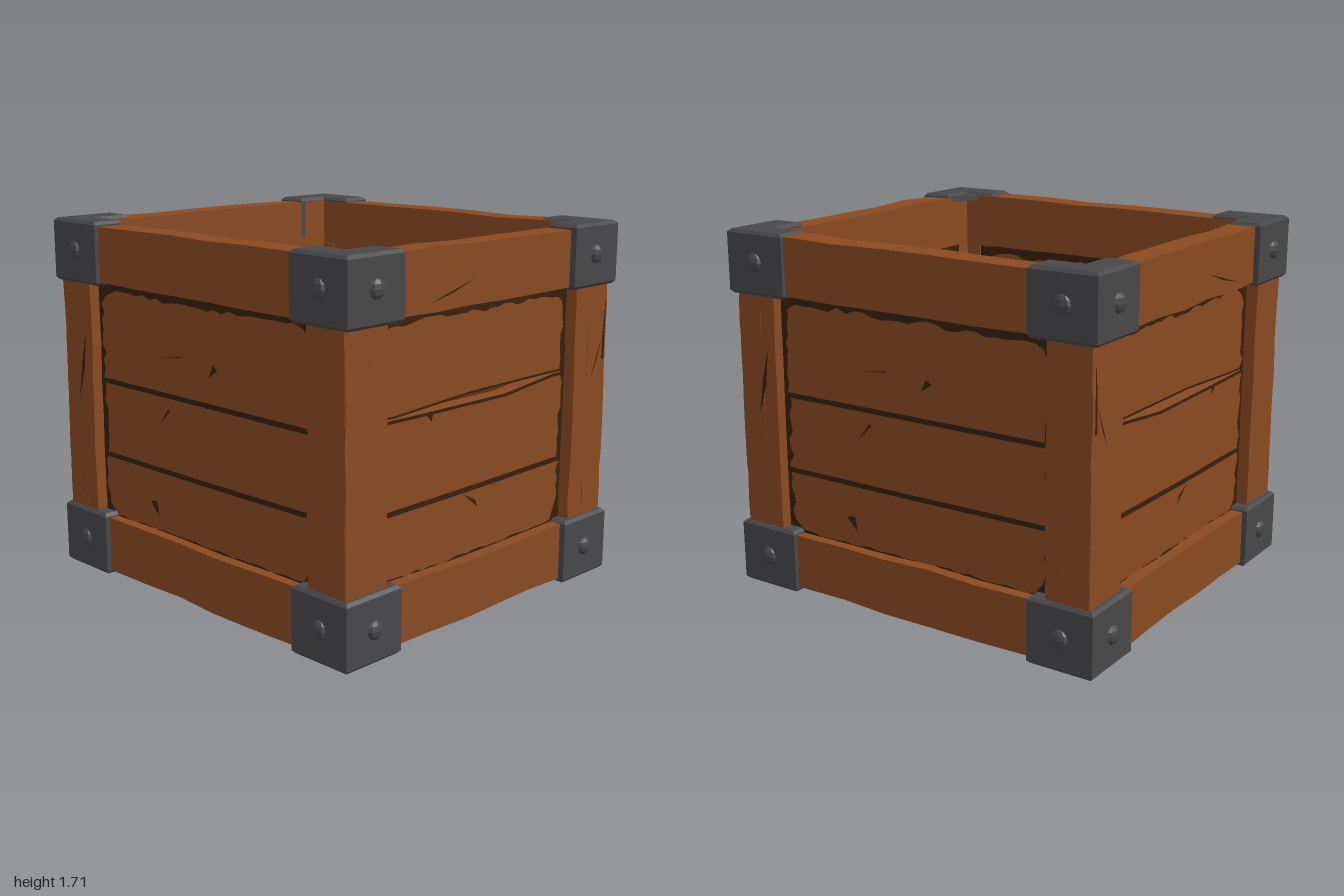
import * as THREE from 'three';

const mat = (name, color, side = THREE.FrontSide) =>
  Object.assign(new THREE.MeshStandardMaterial({ color, flatShading: true, side }), { name });

export function createModel() {
  const wood = mat('wood', 0x894a21);
  const dark = mat('dark stain', 0x38200d, THREE.DoubleSide);
  const metal = mat('iron', 0x484749);
  const model = new THREE.Group();
  model.name = 'openCrate';

  let seed = 7;
  const rand = () => (seed = (seed * 16807) % 2147483647) / 2147483647;

  const add = (parent, name, geo, material, x = 0, y = 0, z = 0) => {
    const m = new THREE.Mesh(geo, material);
    m.name = name;
    m.position.set(x, y, z);
    parent.add(m);
    return m;
  };
  const shape = pts => new THREE.Shape(pts.map(p => new THREE.Vector2(p[0], p[1])));

  // Hand-hewn beam: a box along x whose long edges waver slightly
  const beam = (length, height, depth, amp = 0.01) => {
    const n = 7, geo = new THREE.BoxGeometry(length, height, depth, n, 1, 1);
    const off = Array.from({ length: (n + 1) * 4 }, () => rand() * amp);
    const p = geo.attributes.position;
    for (let i = 0; i < p.count; i++) {
      const c = Math.round((p.getX(i) / length + 0.5) * n) * 4;
      const sy = Math.sign(p.getY(i)), sz = Math.sign(p.getZ(i));
      p.setY(i, p.getY(i) - sy * off[c + (sy > 0 ? 0 : 1)]);
      p.setZ(i, p.getZ(i) - sz * off[c + (sz > 0 ? 2 : 3)]);
    }
    return geo;
  };

  // Ragged dark frame with rounded inner corners, flat in xy
  const stainFrame = (x0, x1, y0, y1, side, top, corner) => {
    const s = shape([[x0, y0], [x1, y0], [x1, y1], [x0, y1]]);
    const inset = (t, base, len) => {
      const d = Math.min(t, 1 - t) * len;
      return base * (0.65 + rand() * 0.6) + corner * Math.max(0, 1 - d / 0.13) ** 2;
    };
    const pts = [], n = 30, w = x1 - x0, h = y1 - y0;
    for (let k = 0; k < 4; k++) {
      for (let i = 2; i < n - 1; i++) {
        const t = i / n;
        if (k === 0) pts.push([x0 + t * w, y0 + inset(t, side * 0.5, w)]);
        if (k === 1) pts.push([x1 - inset(t, side, h), y0 + t * h]);
        if (k === 2) pts.push([x1 - t * w, y1 - inset(t, top, w)]);
        if (k === 3) pts.push([x0 + inset(t, side, h), y1 - t * h]);
      }
    }
    s.holes.push(new THREE.Path(pts.map(p => new THREE.Vector2(p[0], p[1]))));
    return new THREE.ShapeGeometry(s);
  };

  // One plank wall facing +z; each gap is a pair of edges [lower, upper] from left to right
  const wall = (name, half, face, gaps, cracks, flip, angle) => {
    const g = new THREE.Group();
    g.name = name;
    g.rotation.y = angle;
    const e = half + 0.04, thick = 0.07;
    const f = pts => pts.map(([u, v]) => [u * flip, v]);
    const edges = [[null, [[-e, 0.12], [e, 0.12]]], ...gaps, [[[-e, 1.5], [e, 1.5]], null]];
    for (let i = 0; i < edges.length - 1; i++) {
      const outline = [...edges[i][1], ...[...edges[i + 1][0]].reverse()];
      const geo = new THREE.ExtrudeGeometry(shape(f(outline)), { depth: thick, bevelEnabled: false });
      add(g, 'wallPlank', geo, wood, 0, 0, face - thick);
    }
    for (const w of [face + 0.004, face - thick - 0.004]) {
      add(g, 'edgeStain', stainFrame(-half - 0.02, half + 0.02, 0.27, 1.43, 0.047, 0.05, 0.075), dark, 0, 0, w);
      // shadow lines following the plank edges
      for (const [lo, up] of gaps) for (const [line, d] of [[lo, -0.014], [up, 0.01]]) {
        const strip = [...line, ...line.map(([u, v]) => [u, v + d]).reverse()];
        add(g, 'plankEdge', new THREE.ShapeGeometry(shape(f(strip))), dark, 0, 0, w);
      }
    }
    for (const [w, pts] of cracks)
      add(g, 'crack', new THREE.ShapeGeometry(shape(f(pts))), dark, 0, 0, w);
    model.add(g);
  };
  // Planks that meet tightly share one edge
  const tight = (e, a, b) => {
    const line = [[-e, a], [0, a + 0.003], [e, b]];
    return [line, line];
  };

  const fw = 0.82, sw = 0.885;
  const frontGaps = [tight(0.77, 0.587, 0.597), tight(0.77, 0.95, 0.956)];
  const frontCracks = [
    [0.882, [[-0.84, 0.85], [-0.79, 1.0], [-0.77, 1.18], [-0.81, 1.02]]],
    [fw + 0.005, [[0.06, 1.08], [0.12, 1.12], [0.09, 1.14]]],
    [fw + 0.005, [[-0.38, 0.42], [-0.32, 0.36], [-0.33, 0.43]]],
    [fw + 0.005, [[-0.3, 0.8], [-0.22, 0.88], [-0.23, 0.89]]],
    [fw + 0.005, [[-0.3, 1.12], [-0.13, 1.14], [-0.13, 1.145]]],
  ];
  // Side walls have a warped plank that leaves an open slit
  const sideGaps = [tight(0.67, 0.587, 0.6), [
    [[-0.67, 0.99], [-0.4, 0.985], [0.2, 0.98], [0.55, 1.015], [0.67, 1.015]],
    [[-0.67, 0.995], [-0.52, 0.995], [-0.05, 1.02], [0.5, 1.022], [0.67, 1.02]]]];
  const sideCracks = [
    [0.951, [[-0.4, 1.46], [-0.1, 1.54], [-0.25, 1.49]]],
    [0.951, [[0.84, 1.05], [0.86, 1.05], [0.86, 1.36], [0.845, 1.2]]],
    [0.951, [[0.76, 0.97], [0.79, 1.05], [0.85, 1.18], [0.8, 1.05]]],
    [sw + 0.005, [[-0.08, 0.57], [0.02, 0.49], [0, 0.53]]],
    [sw + 0.005, [[-0.33, 0.97], [-0.3, 0.94], [-0.29, 0.98]]],
  ];
  wall('frontWall', 0.73, fw, frontGaps, frontCracks, 1, 0);
  wall('backWall', 0.73, fw, frontGaps, frontCracks, 1, Math.PI);
  wall('rightWall', 0.63, sw, sideGaps, sideCracks, 1, Math.PI / 2);
  wall('leftWall', 0.63, sw, sideGaps, sideCracks, -1, -Math.PI / 2);

  // Top and bottom rails
  for (const y of [0.155, 1.555]) for (const s of [-1, 1]) {
    add(model, 'longRail', beam(1.74, 0.275, 0.15), wood, 0, y, s * 0.805);
    add(model, 'sideRail', beam(1.6, 0.275, 0.14), wood, s * 0.88, y, 0).rotation.y = Math.PI / 2;
  }

  // L-shaped bracket around the rails in the +x +z corner, or a full square for the foot
  const bracketOutline = foot => foot
    ? [[0.65, 0.57], [0.975, 0.57], [0.975, 0.895], [0.65, 0.895]]
    : [[0.818, 0.57], [0.975, 0.57], [0.975, 0.895], [0.65, 0.895], [0.65, 0.738], [0.818, 0.738]];
  const bolt = new THREE.SphereGeometry(0.045, 8, 6);

  for (const sx of [-1, 1]) for (const sz of [-1, 1]) {
    // Corner post made of two boards, flush with the rails inside
    add(model, 'frontPostBoard', beam(1.2, 0.22, 0.15, 0.008), wood, sx * 0.838, 0.855, sz * 0.805)
      .rotation.z = Math.PI / 2;
    add(model, 'sidePostBoard', beam(1.2, 0.14, 0.25, 0.008), wood, sx * 0.88, 0.855, sz * 0.753)
      .rotation.z = Math.PI / 2;

    for (const y of [0, 1.41]) {
      const b = 0.014, h = y ? 0.295 : 0.305;
      const pts = bracketOutline(y === 0).map(([x, z]) => [x * sx, -z * sz]);
      const geo = new THREE.ExtrudeGeometry(shape(pts), {
        depth: h - 2 * b, bevelSize: b, bevelThickness: b, bevelOffset: -b, bevelSegments: 1 });
      geo.rotateX(-Math.PI / 2);
      add(model, 'cornerBracket', geo, metal, 0, y + b, 0);
      const by = y + 0.153;
      add(model, 'bolt', bolt, metal, sx * 0.815, by, sz * 0.89).scale.z = 0.55;
      add(model, 'bolt', bolt, metal, sx * 0.972, by, sz * 0.73).scale.x = 0.6;
    }
  }

  // Bent flap on one top bracket
  const flap = new THREE.ExtrudeGeometry(shape([[0.825, -0.575], [0.825, -0.745], [0.735, -0.745]]),
    { depth: 0.03, bevelEnabled: false });
  add(model, 'bracketFlap', flap.rotateX(-Math.PI / 2), metal, 0, 1.665, 0);

  // Floor boards on a base panel
  add(model, 'basePanel', new THREE.BoxGeometry(1.8, 0.04, 1.7), wood, 0, 0.042, 0);
  const seams = [-0.86, -0.4, 0.39, 0.66, 0.86];
  for (let i = 0; i < 4; i++) {
    const w = seams[i + 1] - seams[i];
    add(model, 'floorPlank', new THREE.BoxGeometry(w - 0.012, 0.06, 1.6), wood, (seams[i] + seams[i + 1]) / 2, 0.09, 0);
    if (i) add(model, 'floorSeam', new THREE.BoxGeometry(0.022, 0.006, 1.6), dark, seams[i], 0.121, 0);
  }
  add(model, 'floorStain', stainFrame(-0.81, 0.81, -0.74, 0.74, 0.015, 0.02, 0.075), dark, 0, 0.123, 0)
    .rotation.x = -Math.PI / 2;

  return model;
}
